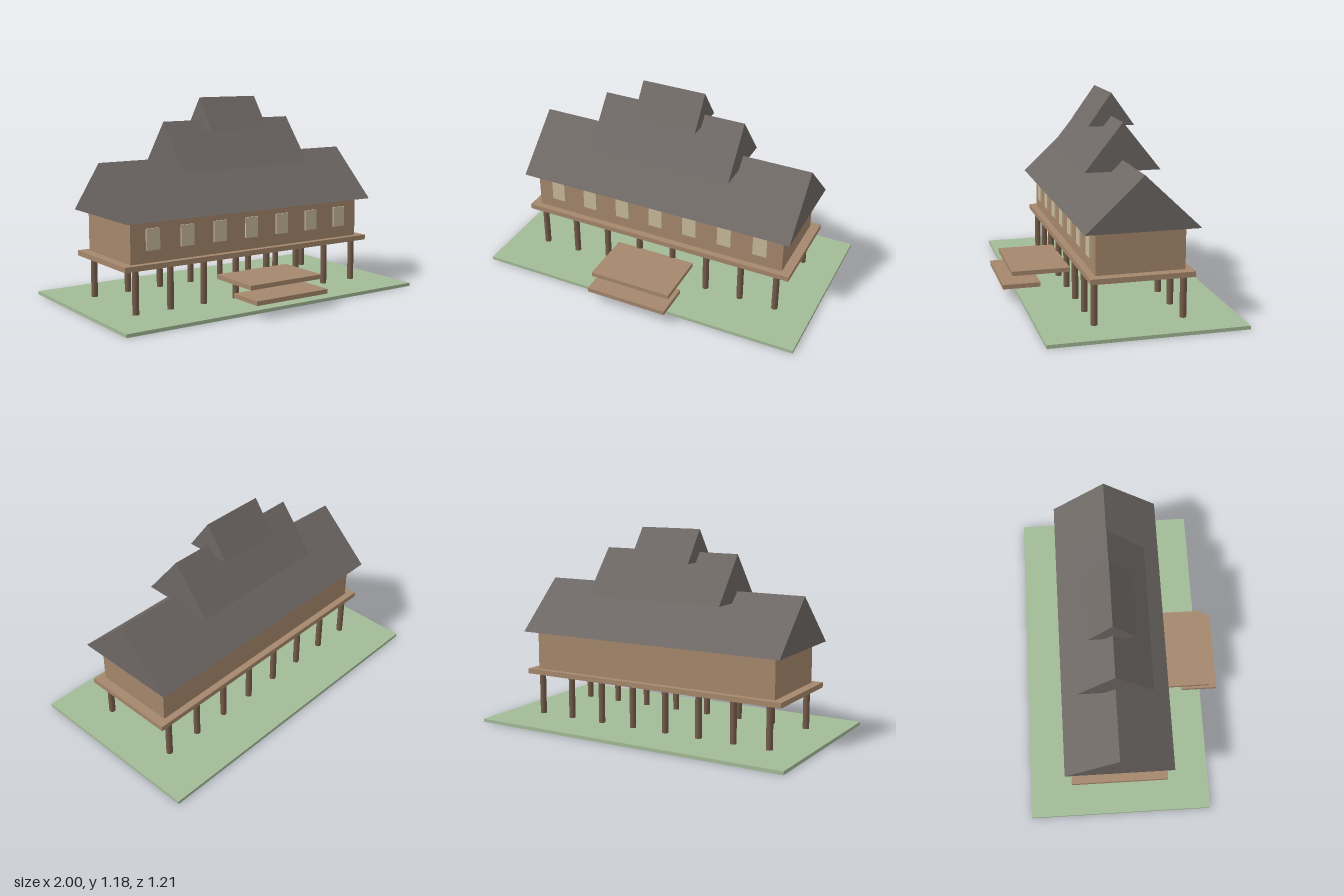
import * as THREE from 'three';

const material = (name, color) => {
  const m = new THREE.MeshStandardMaterial({ color });
  m.name = name;
  return m;
};

export function createModel() {
  const model = new THREE.Group();
  model.name = 'stiltHouse';

  const grass = material('grass green', 0xa3bb97);
  const wood = material('light wood', 0xa5876c);
  const darkWood = material('dark wood', 0x735c49);
  const slate = material('roof grey', 0x6e6865);
  const pane = material('window cream', 0xc8ba9b);

  const add = (name, geometry, mat) => {
    const mesh = new THREE.Mesh(geometry, mat);
    mesh.name = name;
    model.add(mesh);
    return mesh;
  };

  // Box centred on a given x, spanning y0..y1 and z0..z1
  const box = (name, mat, width, y0, y1, z0, z1, x = 0) =>
    add(name, new THREE.BoxGeometry(width, y1 - y0, z1 - z0), mat)
      .position.set(x, (y0 + y1) / 2, (z0 + z1) / 2);

  // Closed triangular prism with its ridge along x
  const ridgeZ = -0.05;
  const roof = (name, length, halfDepth, eave, ridge) => {
    const gable = new THREE.Shape();
    gable.moveTo(-halfDepth, eave);
    gable.lineTo(halfDepth, eave);
    gable.lineTo(0, ridge);
    gable.closePath();
    const geometry = new THREE.ExtrudeGeometry(gable, { depth: length, bevelEnabled: false });
    geometry.translate(0, 0, -length / 2).rotateY(Math.PI / 2).translate(0, 0, ridgeZ);
    add(name, geometry, slate);
  };

  // Ground, platform and walls
  box('ground', grass, 2, 0, 0.02, -0.605, 0.505);
  box('platform', wood, 1.72, 0.27, 0.3, -0.34, 0.24);
  box('walls', wood, 1.61, 0.3, 0.54, -0.3, 0.2);

  // Two broad entrance steps
  box('upperStep', wood, 0.5, 0.154, 0.18, 0.21, 0.55);
  box('lowerStep', wood, 0.5, 0.078, 0.104, 0.385, 0.605);

  // Stilts in two rows
  const spacing = 0.222;
  const stilt = new THREE.CylinderGeometry(0.019, 0.019, 0.25, 16);
  for (const z of [0.2, -0.3]) {
    for (let i = 0; i < 8; i++) {
      add('stilt', stilt, darkWood).position.set((i - 3.5) * spacing, 0.145, z);
    }
  }

  // Front windows
  for (let i = -3; i <= 3; i++) {
    box('window', pane, 0.086, 0.37, 0.492, 0.2, 0.2095, i * spacing);
  }

  // Three stacked gable roofs
  roof('lowerRoof', 1.72, 0.32, 0.538, 0.84);
  roof('middleRoof', 0.886, 0.22, 0.777, 1.052);
  roof('upperRoof', 0.392, 0.137, 0.994, 1.185);

  return model;
}
